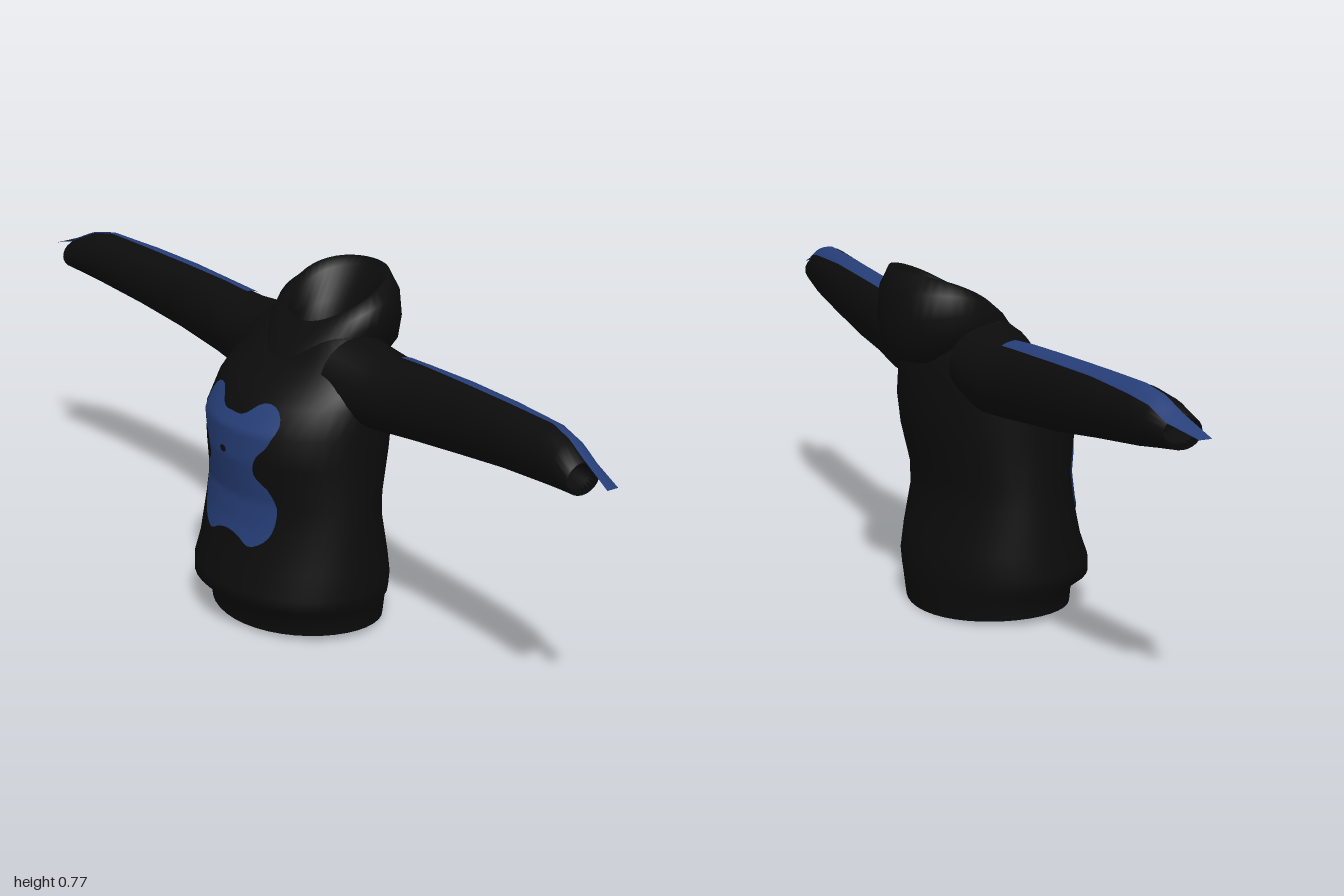
import * as THREE from 'three';

const SEG = 40;
const black = new THREE.MeshStandardMaterial({ name: 'blackCloth', color: 0x0c0c0c, side: THREE.DoubleSide });
const blue = new THREE.MeshStandardMaterial({ name: 'blueTrim', color: 0x263e78, side: THREE.DoubleSide });

// Skin a list of point rows; closed rows wrap around
function loft(rows, closed) {
  const n = rows[0].length, pos = [], idx = [];
  rows.forEach(r => r.forEach(p => pos.push(p.x, p.y, p.z)));
  for (let i = 0; i < rows.length - 1; i++) {
    for (let j = 0; j < (closed ? n : n - 1); j++) {
      const a = i * n + j, b = i * n + (j + 1) % n;
      idx.push(a, b, b + n, a, b + n, a + n);
    }
  }
  const g = new THREE.BufferGeometry();
  g.setAttribute('position', new THREE.Float32BufferAttribute(pos, 3));
  g.setIndex(idx);
  g.computeVertexNormals();
  return g;
}

function add(group, name, geometry, material) {
  const m = new THREE.Mesh(geometry, material);
  m.name = name;
  group.add(m);
  return m;
}

// Ring around the body: half width, front z, back z, front y, back y, side lift, front pinch
function bodyRing([w, zf, zb, yf, yb, lift = 0, pinch = 0]) {
  return Array.from({ length: SEG }, (_, i) => {
    const a = i / SEG * Math.PI * 2, s = Math.sin(a), c = Math.cos(a), front = (1 + c) / 2;
    return new THREE.Vector3(
      w * s * (1 - pinch * front * front),
      yf * front + yb * (1 - front) + lift * s * s,
      (zf + zb) / 2 + (zf - zb) / 2 * c);
  });
}

const TORSO = [
  [0.222, 0.19, -0.155, 0.008, 0, 0.01],
  [0.225, 0.195, -0.162, 0.055, 0.055],
  [0.248, 0.233, -0.163, 0.082, 0.075],
  [0.25, 0.232, -0.166, 0.11, 0.11],
  [0.245, 0.213, -0.158, 0.16, 0.16],
  [0.24, 0.192, -0.138, 0.25, 0.25],
  [0.235, 0.185, -0.141, 0.31, 0.31],
  [0.23, 0.2, -0.166, 0.4, 0.4],
  [0.23, 0.2, -0.175, 0.47, 0.47],
  [0.225, 0.162, -0.17, 0.53, 0.53],
  [0.22, 0.13, -0.166, 0.56, 0.56],
  [0.2, 0.09, -0.16, 0.59, 0.585, 0.02],
  [0.16, 0.078, -0.15, 0.6, 0.59, 0.06],
  [0.11, 0.06, -0.13, 0.61, 0.6, 0.065],
];

// Outer wall up to the rim, then the lining down into the neck
const HOOD = [
  [0.11, 0.085, -0.165, 0.585, 0.56],
  [0.13, 0.082, -0.2, 0.592, 0.57, 0.03],
  [0.146, 0.072, -0.224, 0.605, 0.6, 0.04],
  [0.15, 0.058, -0.232, 0.625, 0.655, 0.04],
  [0.143, 0.04, -0.226, 0.648, 0.72, 0.035],
  [0.118, 0.012, -0.205, 0.675, 0.77, 0.018],
  [0.1, 0.02, -0.185, 0.665, 0.755, 0.01, 0.2],
  [0.085, 0.04, -0.14, 0.645, 0.68, 0, 0.4],
  [0.067, 0.06, -0.105, 0.61, 0.61, 0, 0.6],
  [0.08, 0.065, -0.11, 0.585, 0.57, 0, 0.4],
];

// Sleeve stations: x, top y, bottom y, back z, front z
const SLEEVE = [
  [0.14, 0.662, 0.49, -0.14, 0.06],
  [0.21, 0.652, 0.475, -0.14, 0.045],
  [0.27, 0.648, 0.48, -0.128, 0.032],
  [0.35, 0.654, 0.488, -0.113, 0.018],
  [0.5, 0.66, 0.503, -0.1, 0.006],
  [0.65, 0.663, 0.524, -0.09, 0.018],
  [0.8, 0.664, 0.541, -0.072, 0.03],
  [0.86, 0.652, 0.55, -0.06, 0.038],
  [0.913, 0.627, 0.557, -0.045, 0.042],
  [0.895, 0.615, 0.568, -0.035, 0.032],
  [0.84, 0.61, 0.575, -0.035, 0.025],
];

function sleeveRing([x, yt, yb, zb, zf]) {
  return Array.from({ length: 24 }, (_, i) => {
    const a = i / 24 * Math.PI * 2;
    return new THREE.Vector3(x,
      (yt + yb) / 2 + (yt - yb) / 2 * Math.cos(a),
      (zf + zb) / 2 + (zf - zb) / 2 * Math.sin(a));
  });
}

// Height of the sleeve's upper surface at (x, z)
function sleeveTop(x, z) {
  let i = 0;
  while (i < 7 && SLEEVE[i + 1][0] < x) i++;
  const A = SLEEVE[i], B = SLEEVE[i + 1], t = (x - A[0]) / (B[0] - A[0]);
  const [, yt, yb, zb, zf] = A.map((v, k) => v + (B[k] - v) * t);
  const u = (z - (zf + zb) / 2) / ((zf - zb) / 2);
  return (yt + yb) / 2 + (yt - yb) / 2 * Math.sqrt(Math.max(0, 1 - u * u));
}

// Stripe along the sleeve with a loose end past the cuff: x, back z, front z
function stripeGeometry() {
  const keys = [[0.28, -0.083, -0.05], [0.5, -0.075, -0.038], [0.8, -0.058, -0.02], [0.913, -0.038, -0.002]];
  const rows = [];
  for (let i = 0; i < 3; i++) {
    for (let s = i ? 1 : 0; s <= 6; s++) {
      const [x, z0, z1] = keys[i].map((v, k) => v + (keys[i + 1][k] - v) * s / 6);
      rows.push([0, 1, 2, 3, 4].map(j => {
        const z = z0 + (z1 - z0) * j / 4;
        return new THREE.Vector3(x, sleeveTop(x, z) + 0.004, z);
      }));
    }
  }
  rows.push([0, 1, 2, 3, 4].map(j => new THREE.Vector3(1, 0.598, -0.014 + 0.007 * j)));
  return loft(rows, false);
}

// Depth of the torso's front surface at (x, y)
function torsoFront(x, y) {
  let i = 0;
  while (i < 9 && TORSO[i + 1][3] < y) i++;
  const A = TORSO[i], B = TORSO[i + 1], t = (y - A[3]) / (B[3] - A[3]);
  const [w, zf, zb] = A.map((v, k) => v + (B[k] - v) * t);
  return (zf + zb) / 2 + (zf - zb) / 2 * Math.sqrt(1 - (x / w) ** 2);
}

// Flat outline filled from its centre and laid on the chest
function onChest(outline, cx, cy, rings, offset) {
  const rows = [];
  for (let k = 0; k <= rings; k++) {
    const f = Math.max(k / rings, 0.001);
    rows.push(outline.map(p => {
      const x = cx + (p.x - cx) * f, y = cy + (p.y - cy) * f;
      return new THREE.Vector3(x, y, torsoFront(x, y) + offset);
    }));
  }
  return loft(rows, true);
}

export function createModel() {
  const model = new THREE.Group();
  model.name = 'hoodedTop';

  add(model, 'torso', loft(TORSO.map(bodyRing), true), black);
  add(model, 'hood', loft(HOOD.map(bodyRing), true), black);

  // Four-lobed chest patch
  const half = [[0.035, 0.502], [0.075, 0.532], [0.112, 0.528], [0.133, 0.495], [0.118, 0.45],
    [0.088, 0.415], [0.082, 0.375], [0.115, 0.345], [0.133, 0.295], [0.118, 0.235], [0.072, 0.207], [0.035, 0.222]];
  const loop = [[0, 0.5], ...half, [0, 0.228], ...half.map(([x, y]) => [-x, y]).reverse()];
  const curve = new THREE.CatmullRomCurve3(loop.map(([x, y]) => new THREE.Vector3(x - 0.006, y, 0)), true);
  add(model, 'chestPatch', onChest(curve.getSpacedPoints(80).slice(0, 80), -0.006, 0.38, 16, 0.004), blue);

  // Small dark spot on the patch
  const spot = Array.from({ length: 12 }, (_, i) => new THREE.Vector3(
    -0.015 + 0.011 * Math.cos(i * Math.PI / 6), 0.415 + 0.008 * Math.sin(i * Math.PI / 6), 0));
  add(model, 'patchSpot', onChest(spot, -0.015, 0.415, 1, 0.007), black);

  // Sleeves and their stripes, mirrored left and right
  for (const [side, s] of [['left', 1], ['right', -1]]) {
    const arm = new THREE.Group();
    arm.name = side + 'Arm';
    add(arm, side + 'Sleeve', loft(SLEEVE.map(sleeveRing), true), black);
    add(arm, side + 'SleeveStripe', stripeGeometry(), blue);
    arm.scale.x = s;
    model.add(arm);
  }
  return model;
}
